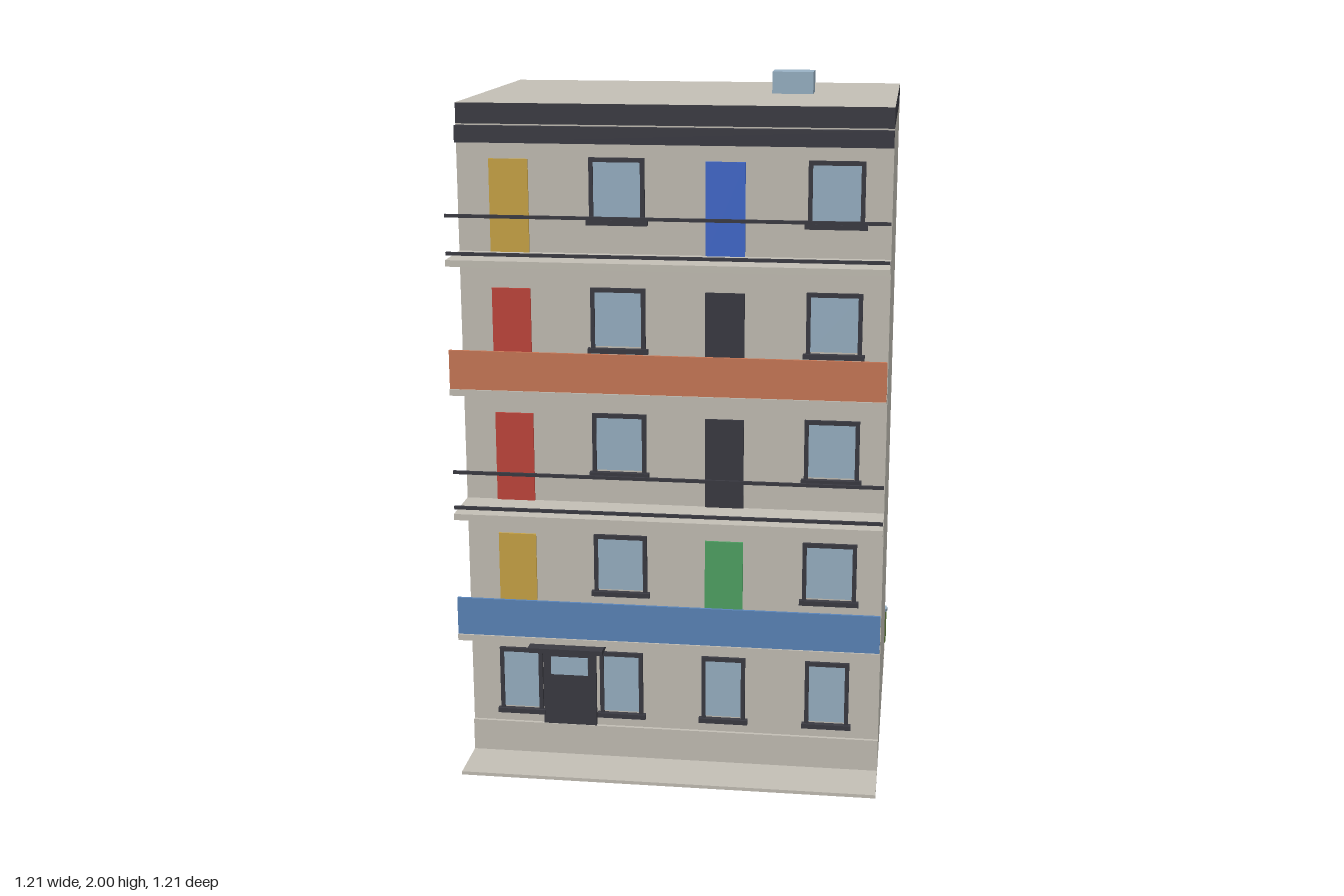
import * as THREE from 'three';

const mat = (name, color) => {
  const m = new THREE.MeshStandardMaterial({ color });
  m.name = name;
  return m;
};

export function createModel() {
  const wall = mat('wall', 0xc3bfb5), dark = mat('charcoal', 0x3a3a42), glass = mat('glass', 0x98b1c4);
  const yellow = mat('yellow', 0xc9a445), blue = mat('door blue', 0x4169cc), red = mat('red', 0xc0453b);
  const green = mat('green', 0x4fa263), orange = mat('orange', 0xc87856), steel = mat('panel blue', 0x5a84b8);
  const olive = mat('olive', 0x6b8a45);

  const model = new THREE.Group();
  model.name = 'apartmentBlock';
  const L = -0.606, R = 0.6, FRONT = 0.44, BACK = -0.385;

  const add = (parent, name, geo, material) => {
    const mesh = new THREE.Mesh(geo, material);
    mesh.name = name;
    parent.add(mesh);
    return mesh;
  };
  // box given by its min and max on each axis
  const box = (parent, name, material, x0, x1, y0, y1, z0, z1) => {
    const mesh = add(parent, name, new THREE.BoxGeometry(x1 - x0, y1 - y0, z1 - z0), material);
    mesh.position.set((x0 + x1) / 2, (y0 + y1) / 2, (z0 + z1) / 2);
    return mesh;
  };
  const group = (name, parent = model) => {
    const g = new THREE.Group();
    g.name = name;
    parent.add(g);
    return g;
  };

  // window with frame bars, pane and sill, built on z = 0 facing +z
  const addWindow = (name, cx, y0, w, h, back) => {
    const g = group(name), t = 0.012, a = w / 2;
    box(g, 'pane', glass, -a + t, a - t, t, h - t, 0, 0.006);
    for (const s of [-1, 1]) {
      const c = s * (a - t / 2);
      box(g, 'frameSide', dark, c - t / 2, c + t / 2, 0, h, 0, 0.01);
    }
    box(g, 'frameTop', dark, -a + t, a - t, h - t, h, 0, 0.01);
    box(g, 'sill', dark, -a - 0.008, a + 0.008, -0.008, 0.006, 0, 0.017);
    g.position.set(cx, y0, back ? BACK : FRONT);
    if (back) g.rotation.y = Math.PI;
  };

  // ground, main block, plinth and roof
  box(model, 'groundSlab', wall, L, R, 0, 0.01, -0.6, 0.606);
  box(model, 'walls', wall, L, R, 0.01, 1.88, BACK, FRONT);
  box(model, 'plinth', wall, L, R, 0.01, 0.105, FRONT, 0.45);
  box(model, 'roofBand', [dark, dark, wall, dark, dark, dark], L, R, 1.88, 1.937, BACK, FRONT);
  box(model, 'cornice', dark, L, R, 1.83, 1.876, FRONT, 0.462);
  box(model, 'skylight', glass, 0.237, 0.356, 1.937, 2.0, -0.046, 0.046);

  // upper floors: balcony, doors, windows
  const floors = [
    { left: yellow, right: green, panel: steel },
    { left: red, right: dark },
    { left: red, right: dark, panel: orange },
    { left: yellow, right: blue },
  ];
  floors.forEach((f, i) => {
    const y = 0.436 + i * 0.363;
    const b = group('balcony');
    box(b, 'balconySlab', wall, L, R, y - 0.018, y, FRONT, 0.597);
    if (f.panel) {
      box(b, 'balconyPanel', f.panel, L, R, y, y + 0.11, 0.584, 0.592);
    } else {
      for (const dy of [0.012, 0.116])
        box(b, 'rail', dark, L, R, y + dy, y + dy + 0.009, 0.583, 0.591);
    }
    box(model, 'balconyDoor', f.left, -0.515, -0.405, y, y + 0.26, FRONT, 0.446);
    box(model, 'balconyDoor', f.right, 0.09, 0.2, y, y + 0.26, FRONT, 0.446);
    for (const x of [-0.156, 0.449]) addWindow('frontWindow', x, y + 0.089, 0.155, 0.178, false);
    for (const x of [-0.407, -0.006, 0.4]) addWindow('backWindow', x, y + 0.082, 0.115, 0.178, true);
  });

  // ground floor
  for (const x of [-0.457, -0.157, 0.145, 0.448]) addWindow('groundWindow', x, 0.143, 0.128, 0.197, false);
  const entry = group('entrance');
  box(entry, 'entranceDoor', dark, -0.39, -0.232, 0.107, 0.343, FRONT, 0.452);
  box(entry, 'doorPane', glass, -0.366, -0.256, 0.265, 0.32, 0.452, 0.455);
  box(entry, 'doorLintel', dark, -0.405, -0.213, 0.343, 0.353, FRONT, 0.457);
  box(entry, 'canopy', dark, -0.42, -0.2, 0.359, 0.373, FRONT, 0.525);
  box(model, 'backDoor', dark, -0.068, 0.056, 0.01, 0.288, BACK - 0.007, BACK);

  // parked car
  const car = group('car');
  box(car, 'carBody', green, -0.15, 0.333, 0.027, 0.1, -0.597, -0.396);
  box(car, 'carCabin', green, -0.065, 0.2, 0.1, 0.165, -0.587, -0.405);
  for (const x of [-0.1, 0.205])
    for (const z of [-0.606, -0.402])
      box(car, 'wheel', dark, x, x + 0.077, 0.01, 0.085, z, z + 0.014);

  // trees
  for (const x of [-0.49, -0.295]) {
    const tree = group('tree');
    tree.position.set(x, 0, -0.495);
    add(tree, 'trunk', new THREE.CylinderGeometry(0.009, 0.009, 0.16, 8), dark).position.y = 0.085;
    const crown = add(tree, 'crown', new THREE.IcosahedronGeometry(0.074, 0), olive);
    crown.position.y = 0.208;
    crown.rotation.y = Math.PI / 2;
  }

  // bins with lids
  [[0.429, olive], [0.502, dark], [0.574, olive]].forEach(([x, m]) => {
    const bin = group('bin');
    bin.position.set(x, 0, -0.556);
    add(bin, 'binBody', new THREE.CylinderGeometry(0.029, 0.029, 0.115, 12), m).position.y = 0.0675;
    add(bin, 'binLid', new THREE.CylinderGeometry(0.032, 0.032, 0.01, 12), glass).position.y = 0.13;
  });

  // the crown is faceted like the other low-poly parts
  olive.flatShading = false;
  return model;
}
